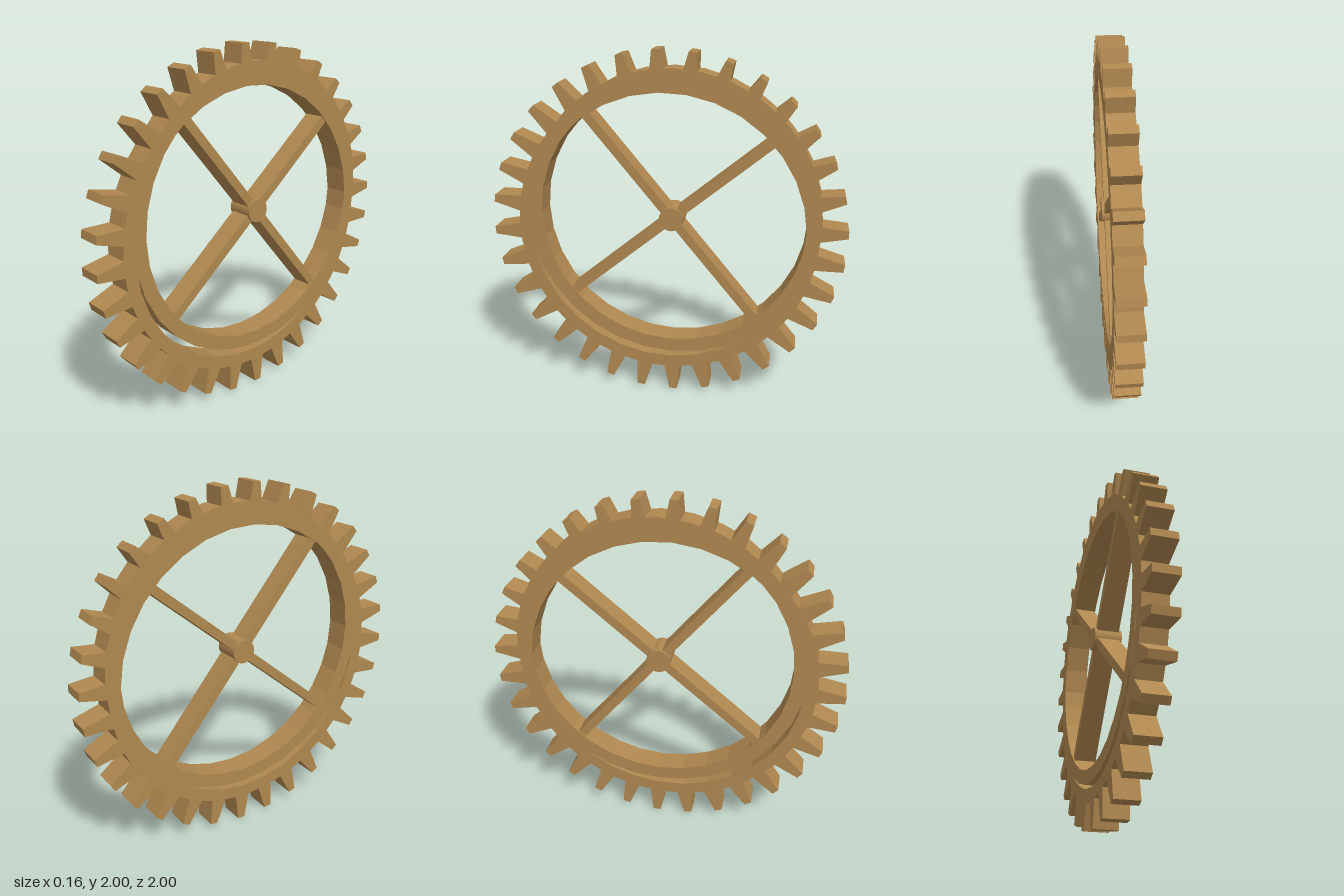
import * as THREE from 'three';

const SIDES = 32, STEP = (Math.PI * 2) / SIDES;
const wood = new THREE.MeshStandardMaterial({ color: 0xb08850 });
wood.name = 'wood';

const polar = (r, a) => new THREE.Vector2(r * Math.cos(a), r * Math.sin(a));
const polygon = (r, start = 0) =>
  Array.from({ length: SIDES }, (_, i) => polar(r, start + i * STEP));

// Ring plate: outline drawn in the (z, y) plane, given thickness along x
function plate(name, outline, hole, width) {
  const shape = new THREE.Shape(outline);
  shape.holes.push(new THREE.Path(hole));
  const geo = new THREE.ExtrudeGeometry(shape, { depth: width, bevelEnabled: false });
  geo.translate(0, 0, -width / 2).rotateY(-Math.PI / 2);
  const mesh = new THREE.Mesh(geo, wood);
  mesh.name = name;
  return mesh;
}

export function createModel() {
  const group = new THREE.Group();
  group.name = 'gearWheel';

  // Toothed outer ring with tapered teeth
  const turn = -STEP / 4, outline = [];
  for (let i = 0; i < SIDES; i++) {
    const a = i * STEP + turn;
    outline.push(polar(0.847, a - 0.053), polar(1, a - 0.022),
      polar(1, a + 0.022), polar(0.847, a + 0.053));
  }
  const gear = plate('toothedRing', outline, polygon(0.778, turn), 0.14);
  gear.position.y = 1;
  group.add(gear);

  // Inner wheel sits slightly off the centre of the toothed ring
  const wheel = new THREE.Group();
  wheel.name = 'innerWheel';
  wheel.position.set(0, 1.08, -0.035);
  wheel.add(plate('innerRim', polygon(0.825), polygon(0.745), 0.14));

  // Two crossed bars make four spokes
  for (const deg of [50.2, 140.2]) {
    const bar = new THREE.Mesh(new THREE.BoxGeometry(0.125, 0.05, 1.54), wood);
    bar.name = 'spokeBar';
    bar.rotation.x = -THREE.MathUtils.degToRad(deg);
    wheel.add(bar);
  }

  // Hub
  const hub = new THREE.Mesh(new THREE.CylinderGeometry(0.067, 0.067, 0.156, 32), wood);
  hub.name = 'hub';
  hub.rotation.z = Math.PI / 2;
  wheel.add(hub);
  group.add(wheel);

  return group;
}
